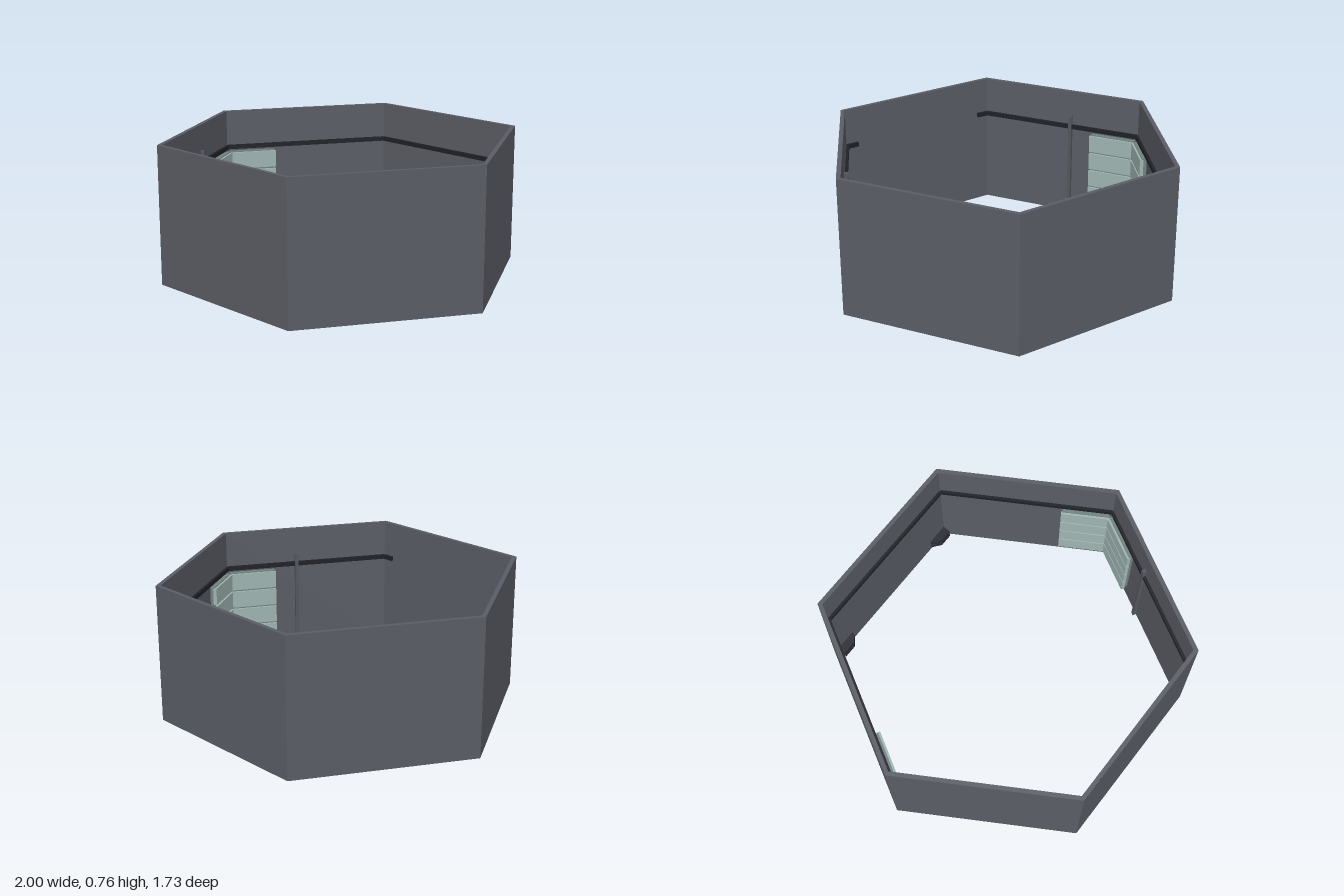
import * as THREE from 'three';

const HEIGHT = 0.765;
const INNER = 0.843; // distance from the centre to the inner wall faces

export function createModel() {
  const model = new THREE.Group();
  model.name = 'hexagonalRoomShell';

  const material = (name, color) => {
    const m = new THREE.MeshStandardMaterial({ color });
    m.name = name;
    return m;
  };
  const wallGrey = material('wall grey', 0x5a5d65);
  const railBlack = material('rail black', 0x202127);
  const bracketDark = material('bracket dark', 0x2b2b34);
  const conduitGrey = material('conduit grey', 0x55575c);
  const panelPale = material('panel pale green', 0x9fb5b2);
  const panelBack = material('panel backing', 0x71827f);

  const add = (parent, name, geometry, mat) => {
    const mesh = new THREE.Mesh(geometry, mat);
    mesh.name = name;
    parent.add(mesh);
    return mesh;
  };

  // Box given by its extents; on a wall, z is the distance from the centre
  const box = (parent, name, mat, x0, x1, y0, y1, z0, z1) => {
    const g = new THREE.BoxGeometry(Math.abs(x1 - x0), y1 - y0, z1 - z0);
    g.translate((x0 + x1) / 2, (y0 + y1) / 2, (z0 + z1) / 2);
    return add(parent, name, g, mat);
  };

  // Extrudes a plan outline (x, -z) upwards
  const extrudeUp = (shape, y, depth) => {
    const g = new THREE.ExtrudeGeometry(shape, { depth, bevelEnabled: false });
    g.rotateX(-Math.PI / 2);
    g.translate(0, y, 0);
    return g;
  };

  // Six-sided wall ring
  const hexagon = (r) => Array.from({ length: 6 }, (_, i) =>
    new THREE.Vector2(r * Math.cos(i * Math.PI / 3), r * Math.sin(i * Math.PI / 3)));
  const ring = new THREE.Shape(hexagon(1));
  ring.holes.push(new THREE.Path(hexagon(INNER / Math.cos(Math.PI / 6))));
  add(model, 'walls', extrudeUp(ring, 0, HEIGHT), wallGrey);

  // Group whose +z points outward through one wall
  const wallGroup = (name, degrees) => {
    const g = new THREE.Group();
    g.name = name;
    g.rotation.y = THREE.MathUtils.degToRad(degrees);
    model.add(g);
    return g;
  };
  const rail = (wall, x0, x1) =>
    box(wall, 'rail', railBlack, x0, x1, 0.537, 0.562, 0.828, INNER);

  // Oblique walls: side is the direction of the nearest side corner
  const sides = [
    ['leftFrontWall', 60, 1, true], ['leftBackWall', 120, -1, false],
    ['rightBackWall', 240, 1, false], ['rightFrontWall', 300, -1, true],
  ];
  for (const [name, degrees, side, hasConduit] of sides) {
    const wall = wallGroup(name + 'Fittings', degrees);
    rail(wall, -0.482, 0.482);

    // Slatted panel beside the side corner
    box(wall, 'panelBacking', panelBack, side * 0.205, side * 0.47, 0.1, 0.525, 0.815, INNER);
    for (let i = 0; i < 4; i++) {
      const y = 0.095 + i * 0.109;
      box(wall, 'panelSlat', panelPale, side * 0.2, side * 0.472, y, y + 0.098, 0.803, 0.823);
    }

    // Vertical conduit crossing the rail
    if (hasConduit) {
      box(wall, 'conduit', conduitGrey, side * 0.057, side * 0.077, 0.003, 0.617, 0.822, INNER);
    }
  }

  // Back wall has a full rail, the front wall only short returns
  rail(wallGroup('backWallFittings', 180), -0.482, 0.482);
  const front = wallGroup('frontWallFittings', 0);

  for (const s of [-1, 1]) {
    rail(front, s * 0.415, s * 0.482);

    // Two-layer corner bracket low on the back wall
    const outline = (inset) => new THREE.Shape([
      [0.485, INNER], [0.36, INNER], [0.36, 0.832],
      [0.405, 0.795 + inset], [0.482, 0.795 + inset],
    ].map(([x, y]) => new THREE.Vector2(s * x, y)));
    add(model, 'bracketLower', extrudeUp(outline(0), 0.033, 0.024), bracketDark);
    add(model, 'bracketCore', extrudeUp(outline(0.008), 0.057, 0.008), conduitGrey);
    add(model, 'bracketUpper', extrudeUp(outline(0), 0.065, 0.026), bracketDark);
  }

  return model;
}
